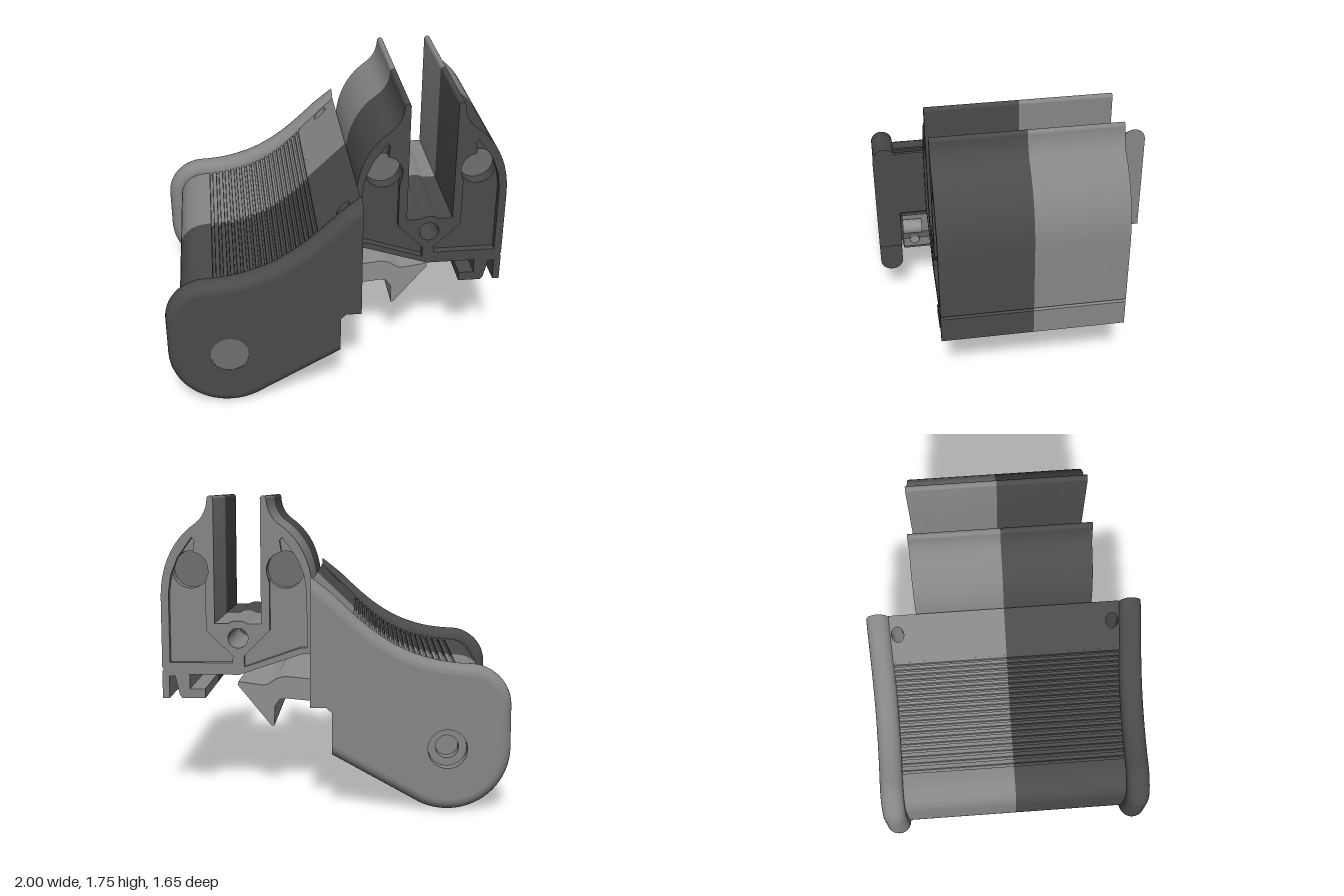
import * as THREE from 'three';
import { toCreasedNormals } from 'three/addons/utils/BufferGeometryUtils.js';

const paint = (color) => new THREE.MeshStandardMaterial({ color });
const DARK = paint(0x4a4a4a), LIGHT = paint(0x868686), PIN = paint(0x6e6e6e), LATCH = paint(0x909090);
const tone = (k) => (k > 0 ? DARK : LIGHT); // front half dark, back half light
const vec = (pts) => pts.map(([x, y]) => new THREE.Vector2(x, y));

function circlePath(x, y, r) {
  return new THREE.Path().absarc(x, y, r, 0, Math.PI * 2, true);
}

function mesh(name, geometry, material, crease = 0.5) {
  const m = new THREE.Mesh(toCreasedNormals(geometry, crease), material);
  m.name = name;
  return m;
}

// Straight extrusion of an outline (shape or point list) between two depths
function slab(name, outline, za, zb, material, holes = []) {
  const s = new THREE.Shape(Array.isArray(outline) ? vec(outline) : outline.getPoints(10));
  s.holes = holes;
  const g = new THREE.ExtrudeGeometry(s, { depth: Math.abs(zb - za), bevelEnabled: false, curveSegments: 24 });
  return mesh(name, g.translate(0, 0, Math.min(za, zb)), material);
}

// Round bar along z
function bar(name, x, y, r, za, zb, material) {
  const g = new THREE.CylinderGeometry(r, r, Math.abs(zb - za), 32).rotateX(Math.PI / 2);
  return mesh(name, g.translate(x, y, (za + zb) / 2), material);
}

// Moves a counter-clockwise outline inwards by d; edges chosen by isFlat stay put
function inset(pts, d, isFlat) {
  const edge = (p, q) => {
    const t = q.clone().sub(p).normalize();
    return { x: -t.y, y: t.x, d: isFlat(p, q) ? 0 : d };
  };
  return pts.map((p, i) => {
    const m = edge(pts[(i + pts.length - 1) % pts.length], p), n = edge(p, pts[(i + 1) % pts.length]);
    const cross = m.x * n.y - m.y * n.x;
    if (Math.abs(cross) < 1e-3) return new THREE.Vector2(p.x + n.x * n.d, p.y + n.y * n.d);
    return new THREE.Vector2(p.x + (m.d * n.y - n.d * m.y) / cross, p.y + (m.x * n.d - n.x * m.d) / cross);
  });
}

// Rows of square ridges along a line or curve
function ridges(count, at, depth) {
  const out = [];
  for (let i = 0; i < count; i++) {
    for (const [t, k] of [[0, 0], [0.55, 0], [0.6, 1], [0.95, 1]]) {
      const [x, y] = at((i + t) / count);
      out.push([x, y + k * depth]);
    }
  }
  return out;
}

// Side cheek: rounded rim, flat front edge, axle bore
function cheek(material) {
  const s = new THREE.Shape();
  s.moveTo(0.12, 1.315);
  s.lineTo(0, 1.22);
  s.bezierCurveTo(-0.18, 1.05, -0.36, 0.86, -0.72, 0.835);
  s.lineTo(-0.77, 0.833);
  s.bezierCurveTo(-0.9, 0.83, -1, 0.72, -1, 0.6);
  s.lineTo(-1, 0.36);
  s.absarc(-0.645, 0.36, 0.355, Math.PI, Math.PI * 1.67, false);
  for (const [x, y] of [[0, 0.31], [0, 0.56], [0.03, 0.59], [0.12, 0.59]]) s.lineTo(x, y);
  const pts = s.getPoints(20).filter((p, i, a) => i === 0 || p.distanceTo(a[i - 1]) > 0.001);
  const isFront = (p, q) => Math.min(p.x, q.x) > -0.001 && Math.min(p.y, q.y) < 1.2;
  const half = 0.07, rim = 0.06, steps = 12, pos = [];
  const rings = [];
  for (let j = 0; j <= steps; j++) {
    const a = -Math.PI / 2 + (Math.PI * j) / steps;
    rings.push(inset(pts, rim * (1 - Math.cos(a)), isFront).map((p) => [p.x, p.y, half * Math.sin(a)]));
  }
  for (let j = 0; j < steps; j++) {
    for (let i = 0; i < pts.length; i++) {
      const k = (i + 1) % pts.length;
      const [a, b, c, d] = [rings[j][i], rings[j][k], rings[j + 1][k], rings[j + 1][i]];
      pos.push(...a, ...b, ...c, ...a, ...c, ...d);
    }
  }
  const g = new THREE.BufferGeometry();
  g.setAttribute('position', new THREE.Float32BufferAttribute(pos, 3));
  const group = new THREE.Group();
  group.name = 'sideCheek';
  const face = new THREE.Shape(inset(pts, rim, isFront));
  group.add(mesh('cheekRim', g, material, 0.7));
  group.add(slab('cheekFace', face, -half, half, material, [circlePath(-0.645, 0.36, 0.11)]));
  return group;
}

// Axle: flush head at the front, stepped recess at the back
function axle() {
  const group = new THREE.Group();
  group.name = 'axle';
  group.add(bar('axleHead', -0.645, 0.36, 0.11, 0.69, 0.823, PIN));
  const ring = new THREE.Shape().absarc(-0.645, 0.36, 0.11, 0, Math.PI * 2, false);
  group.add(slab('axleSeat', ring, -0.69, -0.76, LIGHT, [circlePath(-0.645, 0.36, 0.065)]));
  return group;
}

// Ribbed grip body with a front lip that carries two screw holes
function grip() {
  const group = new THREE.Group();
  group.name = 'grip';
  const top = new THREE.CubicBezierCurve(...vec([[-0.72, 0.765], [-0.42, 0.785], [-0.26, 0.9], [-0.1, 1.07]]));
  const s = new THREE.Shape();
  s.moveTo(-0.1, 0.83);
  s.lineTo(-0.1, 1.07);
  const ribs = ridges(20, (t) => top.getPoint(1 - t).toArray(), -0.016);
  for (const [x, y] of ribs) s.lineTo(x, y);
  s.lineTo(-0.72, 0.765);
  s.bezierCurveTo(-0.85, 0.765, -0.92, 0.7, -0.92, 0.58);
  s.lineTo(-0.92, 0.36);
  s.absarc(-0.65, 0.36, 0.27, Math.PI, Math.PI * 1.66, false);
  s.lineTo(-0.5, 0.2);
  s.lineTo(-0.3, 0.48);

  for (const k of [-1, 1]) {
    group.add(slab('gripBody', s, 0, 0.69 * k, tone(k)));
    // Lip drawn in plan, then its top is sloped
    const lo = k > 0 ? -0.69 : 0, hi = lo + 0.69;
    const plan = new THREE.Shape(vec([[-0.102, lo], [0.12, lo], [0.12, hi], [-0.102, hi]]));
    plan.holes = [circlePath(0.03, -0.645 * k, 0.037)];
    const g = new THREE.ExtrudeGeometry(plan, { depth: 1, bevelEnabled: false, curveSegments: 16 });
    g.rotateX(-Math.PI / 2);
    const p = g.attributes.position;
    for (let i = 0; i < p.count; i++) {
      p.setY(i, p.getY(i) > 0.5 ? 1.07 + (p.getX(i) + 0.1) * 0.95 : 0.845);
    }
    group.add(mesh('gripLip', g, tone(k)));
  }
  return group;
}

// Ribbed release lever with its hooked latch
function lever() {
  const group = new THREE.Group();
  group.name = 'releaseLever';
  const under = ridges(16, (t) => [-0.5 + 0.47 * t, 0.155 + 0.29 * t], 0.016);
  group.add(slab('leverBody', [...under, [-0.03, 0.46], [-0.06, 0.5], [-0.045, 0.56], [-0.08, 0.62], [-0.12, 0.64],
    [-0.3, 0.52], [-0.5, 0.22]], -0.67, 0.67, PIN));
  group.add(slab('latchHook', [
    [-0.06, 0.53], [0, 0.54], [0.28, 0.565], [0.32, 0.56], [0.35, 0.52], [0.355, 0.4], [0.37, 0.4],
    [0.57, 0.645], [0.565, 0.665], [0.42, 0.645], [0.39, 0.65], [0.34, 0.685], [0.29, 0.698], [0.11, 0.68], [-0.06, 0.62],
  ], -0.445, 0.445, LATCH));
  for (const k of [-1, 1]) {
    group.add(bar('leverPivot', -0.06, 0.595, 0.045, 0.55 * k, 0.67 * k, LATCH));
    const screw = new THREE.CylinderGeometry(0.03, 0.03, 0.04, 16).rotateZ(Math.PI / 2);
    group.add(mesh('leverScrew', screw.translate(-0.055, 0.505, 0.6 * k), LATCH));
  }
  return group;
}

// Forked clamp with a deep slot, hub hole and end pockets
function clamp() {
  const group = new THREE.Group();
  group.name = 'forkClamp';
  const cx = 0.555;
  const s = new THREE.Shape();
  const line = (pts) => pts.forEach(([x, y]) => s.lineTo(x, y));
  s.moveTo(0.12, 0.845);
  line([[0.18, 0.845], [0.55, 0.72], [0.84, 0.72], [0.84, 0.635], [0.75, 0.635], [0.75, 0.58], [0.885, 0.58],
    [0.9, 0.6], [0.925, 0.71], [0.96, 0.71], [0.96, 0.58], [1, 0.58], [1, 0.74], [0.99, 0.75], [1, 0.76], [1, 1.18]]);
  s.bezierCurveTo(0.995, 1.38, 0.91, 1.52, 0.79, 1.6);
  s.quadraticCurveTo(0.73, 1.65, 0.725, 1.737);
  s.absarc(0.707, 1.737, 0.018, 0, Math.PI, false);
  line([[0.69, 1.02], [0.61, 1.02]]);
  s.absarc(cx, 0.935, 0.101, 0.99, Math.PI - 0.99, false);
  line([[0.42, 1.02], [0.42, 1.737]]);
  s.absarc(0.403, 1.737, 0.018, 0, Math.PI, false);
  s.quadraticCurveTo(0.38, 1.65, 0.32, 1.6);
  s.bezierCurveTo(0.2, 1.52, 0.12, 1.38, 0.12, 1.18);

  const hub = circlePath(cx, 0.935, 0.058);
  const boreX = [0.28, 0.83];
  const bores = boreX.map((x) => circlePath(x, 1.33, 0.108));
  // Pocket outline for the left tower, mirrored for the right one
  const pocket = [[0.37, 0.98], [0.37, 1.26], [0.386, 1.31], [0.386, 1.35], [0.37, 1.39], [0.34, 1.42], [0.3, 1.435],
    [0.31, 1.5], [0.295, 1.52], [0.21, 1.4], [0.17, 1.3], [0.155, 1.2]];
  const left = [[0.155, 0.88], [0.19, 0.88], [0.52, 0.765], [0.52, 0.83], ...pocket];
  const right = [[0.955, 0.79], [0.59, 0.79], [0.585, 0.83], ...pocket.map(([x, y]) => [2 * cx - x, y])];
  const pockets = [left, right].map((q) => new THREE.Path(vec(q)));

  for (const k of [-1, 1]) {
    group.add(slab('clampCore', s, 0, 0.38 * k, tone(k), [hub]));
    group.add(slab('clampBoredLayer', s, 0.38 * k, 0.48 * k, tone(k), [hub, ...bores]));
    group.add(slab('clampPocketLayer', s, 0.48 * k, 0.525 * k, tone(k), [hub, ...pockets]));
    for (const x of boreX) group.add(bar('boreFloor', x, 1.33, 0.108, 0.37 * k, 0.4 * k, PIN));
  }
  return group;
}

export function createModel() {
  const model = new THREE.Group();
  model.name = 'clampHandle';
  for (const k of [-1, 1]) {
    const c = cheek(tone(k));
    c.position.z = 0.755 * k;
    model.add(c);
  }
  model.add(axle(), grip(), lever(), clamp());
  return model;
}
